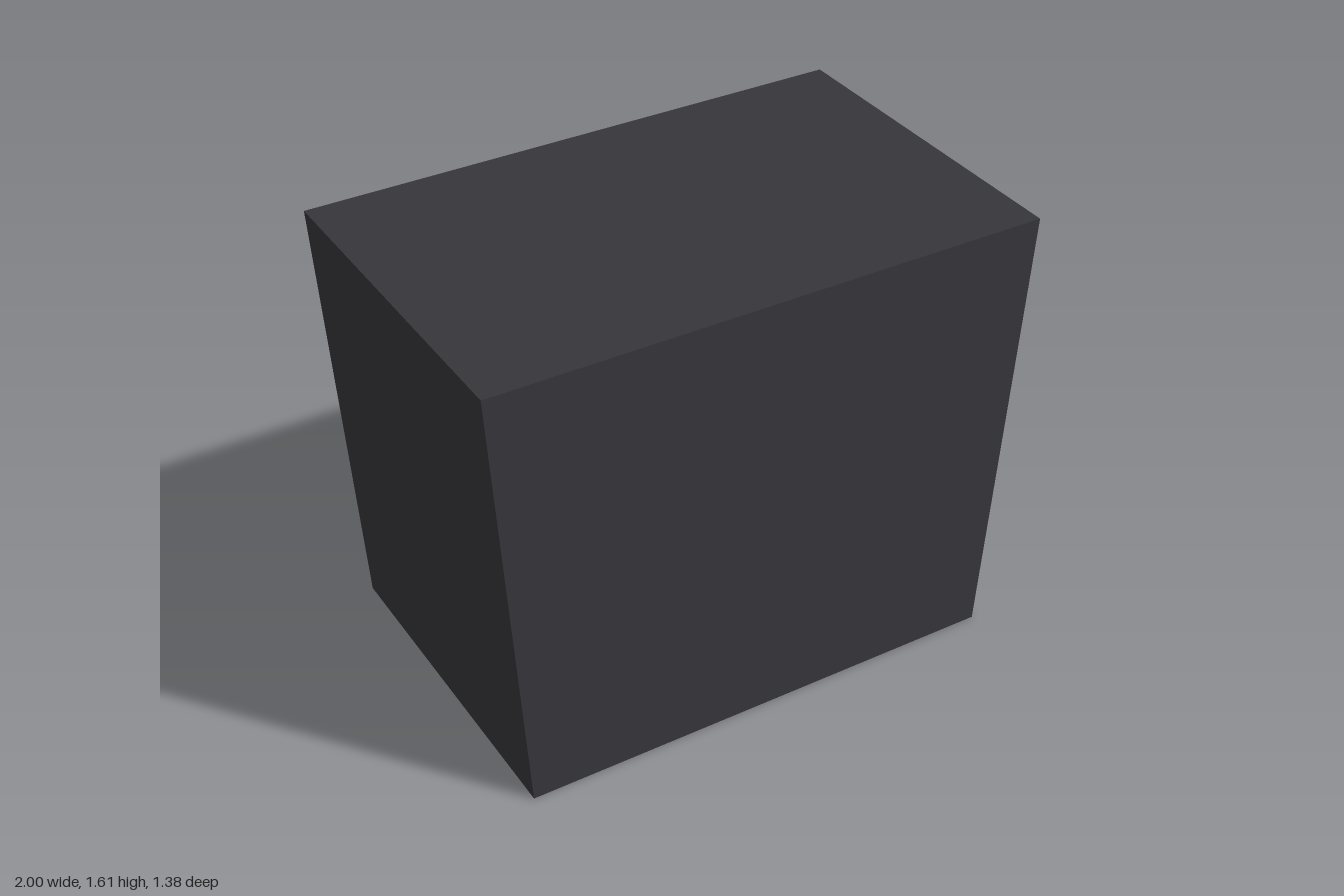
import * as THREE from 'three';

export function createModel() {
  const model = new THREE.Group();
  const dark = new THREE.MeshStandardMaterial({ color: 0x36353b });
  dark.name = 'charcoal';
  const pale = new THREE.MeshStandardMaterial({ color: 0xc8c8c2 });
  pale.name = 'pale grey';

  const backZ = -0.56, frontZ = 0.69, height = 1.61;

  const add = (name, geometry, material) => {
    const mesh = new THREE.Mesh(geometry, material);
    mesh.name = name;
    model.add(mesh);
    return mesh;
  };

  // Main body: a block whose sides taper in towards the base
  const outline = new THREE.Shape([
    new THREE.Vector2(-0.89, 0),
    new THREE.Vector2(0.89, 0),
    new THREE.Vector2(1, height),
    new THREE.Vector2(-1, height),
  ]);
  const body = new THREE.ExtrudeGeometry(outline, { depth: frontZ - backZ, bevelEnabled: false });
  add('body', body, dark).position.z = backZ;

  // Blocks standing out from the back face
  const backBlock = (name, x, y, w, h, d, material) =>
    add(name, new THREE.BoxGeometry(w, h, d), material).position.set(x, y, backZ - d / 2);

  backBlock('backPlate', 0, 1.255, 0.89, 0.27, 0.055, pale);
  for (const [name, side] of [['leftBackBlock', 1], ['rightBackBlock', -1]]) {
    backBlock(name, side * 0.447, 0.36, 0.395, 0.445, 0.13, dark);
  }

  return model;
}
